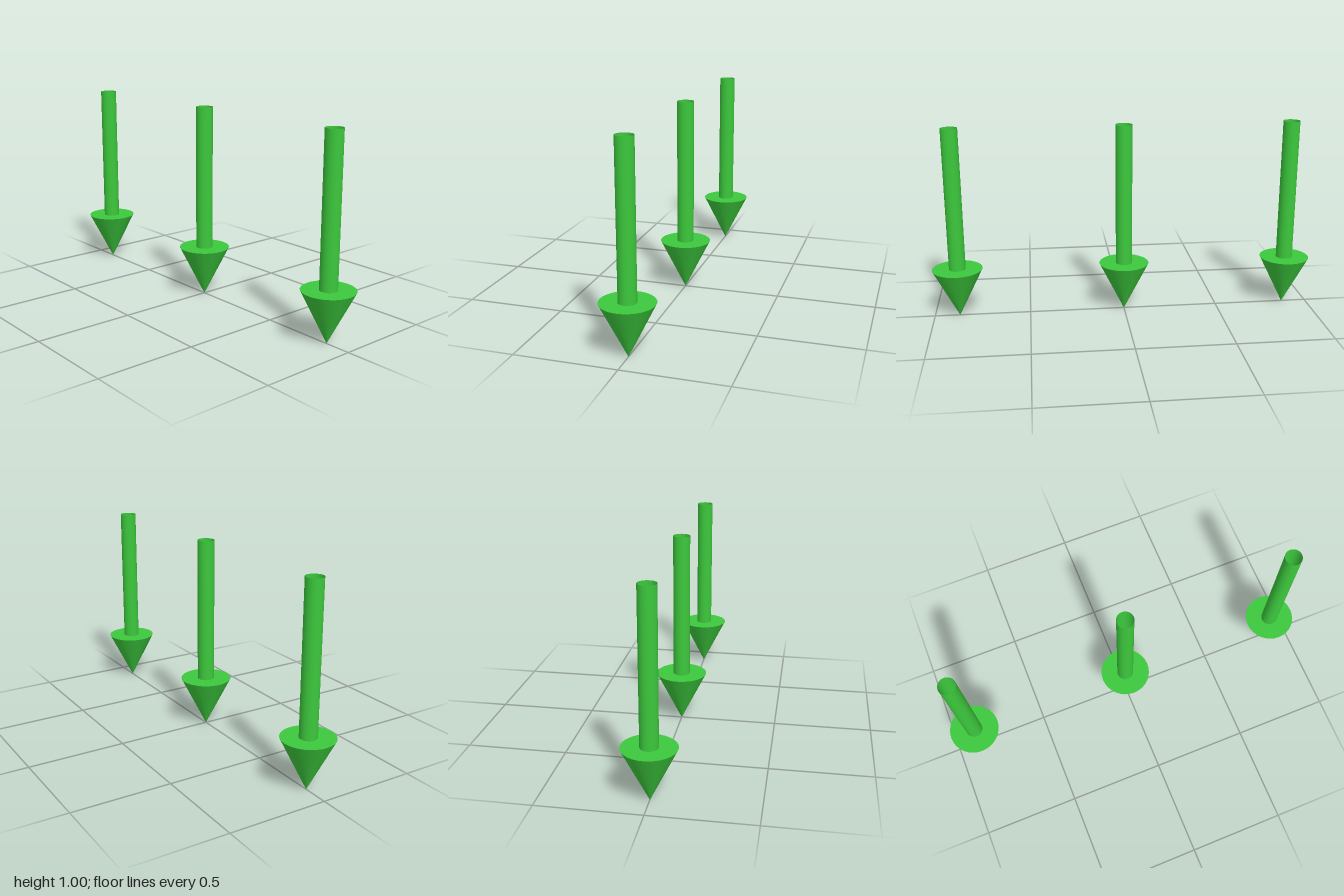
import * as THREE from 'three';

const SHAFT_RADIUS = 0.043;
const HEAD_RADIUS = 0.13;
const HEAD_HEIGHT = 0.26;
const TOP = 1;
const SPACING = 0.87;
const SIDES = 32;

// One downward arrow with its tip on the ground
function createArrow(material) {
  const arrow = new THREE.Group();

  // Hollow shaft, open at the top
  const length = TOP - HEAD_HEIGHT;
  const shaft = new THREE.Mesh(
    new THREE.CylinderGeometry(SHAFT_RADIUS, SHAFT_RADIUS, length, SIDES, 1, true), material);
  shaft.name = 'shaft';
  shaft.position.y = HEAD_HEIGHT + length / 2;

  // Closed cone pointing down
  const head = new THREE.Mesh(
    new THREE.ConeGeometry(HEAD_RADIUS, HEAD_HEIGHT, SIDES).rotateX(Math.PI), material);
  head.name = 'arrowHead';
  head.position.y = HEAD_HEIGHT / 2;

  arrow.add(shaft, head);
  return arrow;
}

export function createModel() {
  const model = new THREE.Group();
  model.name = 'downArrows';
  const material = new THREE.MeshStandardMaterial({ color: 0x3cc83c, side: THREE.DoubleSide });

  // Row of three arrows from front to back
  ['frontArrow', 'middleArrow', 'backArrow'].forEach((name, i) => {
    const arrow = createArrow(material);
    arrow.name = name;
    arrow.position.z = (1 - i) * SPACING;
    model.add(arrow);
  });
  return model;
}
